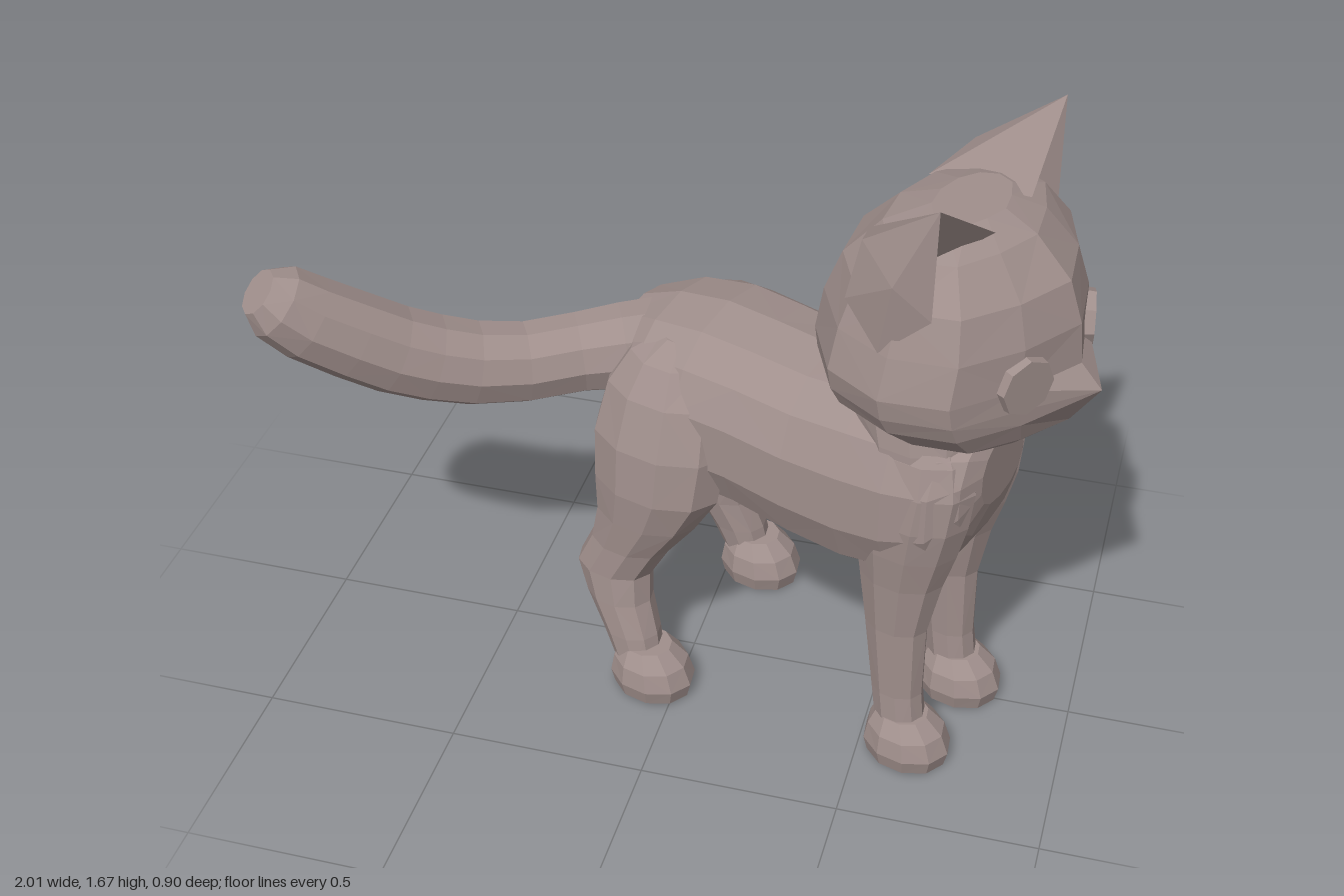
import * as THREE from 'three';

const fur = new THREE.MeshStandardMaterial({ color: 0xa08f8c, flatShading: true });
fur.name = 'fur';
const earFur = new THREE.MeshStandardMaterial({ color: 0xa08f8c, flatShading: true, side: THREE.DoubleSide });
earFur.name = 'earFur';

function mesh(name, points, index, material = fur) {
  let g = new THREE.BufferGeometry();
  g.setAttribute('position', new THREE.Float32BufferAttribute(points.flat(), 3));
  g.setIndex(index);
  g = g.toNonIndexed();
  g.computeVertexNormals();
  const m = new THREE.Mesh(g, material);
  m.name = name;
  return m;
}

// Skin over a list of rings (arrays of [x, y, z]), closed at both ends
function loft(name, rings) {
  const n = rings[0].length, last = rings.length - 1;
  const points = rings.flat(), index = [];
  const middle = (r) => [0, 1, 2].map((k) => r.reduce((s, p) => s + p[k], 0) / n);
  points.push(middle(rings[0]), middle(rings[last]));
  for (let j = 0; j < n; j++) {
    const k = (j + 1) % n;
    for (let i = 0; i < last; i++) {
      const a = i * n + j, b = i * n + k, c = a + n, d = b + n;
      if ((i + j) % 2) index.push(a, c, b, b, c, d);
      else index.push(a, c, d, a, d, b);
    }
    index.push(points.length - 2, j, k, points.length - 1, last * n + k, last * n + j);
  }
  return mesh(name, points, index);
}

const turn = (n, f) => Array.from({ length: n }, (_, j) => f((j / n) * Math.PI * 2, j));

// Level rings: [y, back, front, centre z, half width]
const upright = (name, rows, n, side = 1) => loft(name, rows.map(([y, b, f, z, w]) =>
  turn(n, (t) => [(b + f) / 2 + (f - b) / 2 * Math.cos(t), y, side * z + w * Math.sin(t)])));

function makeTorso() {
  // [x, top, bottom, half width]
  const rows = [
    [-0.22, 0.94, 0.76, 0.07], [-0.19, 0.99, 0.64, 0.16], [-0.08, 1.035, 0.57, 0.24],
    [0.06, 1.055, 0.56, 0.26], [0.20, 1.045, 0.55, 0.252], [0.35, 1.03, 0.515, 0.245],
    [0.50, 1.04, 0.50, 0.247], [0.62, 1.04, 0.52, 0.247], [0.73, 1.02, 0.57, 0.225],
    [0.79, 1.00, 0.68, 0.175], [0.815, 0.96, 0.77, 0.11],
  ];
  const boxy = (v) => Math.sign(v) * Math.abs(v) ** 0.87; // slightly squared section
  return loft('torso', rows.map(([x, top, low, w]) => turn(14, (t) =>
    [x, (top + low) / 2 + (top - low) / 2 * boxy(Math.cos(t)), -w * boxy(Math.sin(t))])));
}

function makeHead() {
  const head = new THREE.Group();
  head.name = 'head';
  head.position.z = -0.013;
  // [y, back, front, half width, nose push]
  const rows = [
    [0.955, 0.70, 0.84, 0.06, 0], [0.98, 0.60, 0.89, 0.16, 0], [1.04, 0.46, 0.95, 0.28, 0.01],
    [1.10, 0.38, 0.97, 0.345, 0.03], [1.145, 0.362, 0.97, 0.368, 0.06], [1.20, 0.357, 0.965, 0.378, 0.01],
    [1.30, 0.37, 0.965, 0.352, 0], [1.40, 0.41, 0.93, 0.318, 0], [1.49, 0.50, 0.84, 0.25, 0],
    [1.53, 0.60, 0.76, 0.13, 0],
  ];
  head.add(loft('skull', rows.map(([y, b, f, w, nose]) => turn(12, (t, j) => {
    const flat = j === 1 || j === 11 ? 0.93 : 1; // cheeks flatten beside the bridge
    return [(b + f) / 2 + (f - b) / 2 * Math.cos(t) * flat + (j === 0 ? nose : 0), y, w * Math.sin(t) * flat];
  }))));

  for (const side of [1, -1]) {
    // Eye disc set into the face
    const eye = new THREE.Mesh(new THREE.CylinderGeometry(0.07, 0.075, 0.04, 8).rotateZ(-Math.PI / 2), fur);
    eye.name = side > 0 ? 'rightEye' : 'leftEye';
    eye.position.set(0.908, 1.21, side * 0.16);
    eye.rotation.y = -side * 0.45;
    head.add(eye);

    // Ear: tip, inner front, inner back, outer back, outer bulge, outer front, hollow, low back, low edge
    const ear = [
      [0.75, 1.67, 0.308], [0.78, 1.52, 0.09], [0.50, 1.47, 0.14], [0.55, 1.52, 0.27], [0.67, 1.48, 0.352],
      [0.75, 1.40, 0.315], [0.67, 1.46, 0.24], [0.53, 1.38, 0.30], [0.64, 1.30, 0.345],
    ].map(([x, y, z]) => [x, y, side * z]);
    const faces = [0, 1, 2, 0, 2, 3, 0, 3, 4, 0, 4, 5, 0, 5, 6, 0, 6, 1, 2, 7, 3, 3, 7, 4, 7, 8, 4, 8, 5, 4];
    // Reverse the corners on the side where the ring runs the other way
    if (side > 0) for (let i = 0; i < faces.length; i += 3) [faces[i + 1], faces[i + 2]] = [faces[i + 2], faces[i + 1]];
    head.add(mesh(side > 0 ? 'rightEar' : 'leftEar', ear, faces, earFur));
  }
  return head;
}

function makeTail() {
  // [x, y, z, radius] from tip to root
  const rows = [
    [-0.962, 1.18, 0.375, 0.06], [-0.93, 1.145, 0.352, 0.095], [-0.87, 1.088, 0.318, 0.106],
    [-0.78, 1.02, 0.265, 0.11], [-0.70, 0.963, 0.217, 0.111], [-0.62, 0.922, 0.17, 0.11],
    [-0.53, 0.89, 0.12, 0.107], [-0.42, 0.873, 0.058, 0.103],
    [-0.30, 0.88, -0.01, 0.103], [-0.20, 0.89, -0.05, 0.112], [-0.08, 0.89, -0.11, 0.12],
  ];
  const at = rows.map((r) => new THREE.Vector3(r[0], r[1], r[2]));
  const up = new THREE.Vector3(0, 1, 0);
  return loft('tail', rows.map((r, i) => {
    const d = at[Math.min(i + 1, at.length - 1)].clone().sub(at[Math.max(i - 1, 0)]).normalize();
    const e1 = d.clone().cross(up).normalize(), e2 = e1.clone().cross(d);
    return turn(10, (t) => at[i].clone().addScaledVector(e1, r[3] * Math.cos(t))
      .addScaledVector(e2, r[3] * Math.sin(t)).toArray());
  }));
}

// The neck flares into the shoulders
const neck = [
  [0.74, 0.50, 0.79, 0, 0.19], [0.86, 0.47, 0.815, 0, 0.215], [0.95, 0.45, 0.815, 0, 0.21],
  [1.02, 0.42, 0.81, 0, 0.2], [1.10, 0.42, 0.82, 0, 0.215],
];
const frontLeg = [
  [0.08, 0.60, 0.73, 0.142, 0.06], [0.20, 0.58, 0.715, 0.14, 0.056], [0.40, 0.55, 0.715, 0.137, 0.063],
  [0.55, 0.525, 0.745, 0.13, 0.083], [0.65, 0.51, 0.775, 0.13, 0.097], [0.75, 0.505, 0.80, 0.132, 0.105],
  [0.85, 0.52, 0.81, 0.128, 0.104], [0.93, 0.54, 0.79, 0.113, 0.098], [0.98, 0.58, 0.75, 0.10, 0.08],
];
const hindLeg = [
  [0.08, -0.10, 0.03, 0.272, 0.063], [0.16, -0.14, 0.015, 0.265, 0.068], [0.25, -0.195, -0.015, 0.253, 0.074],
  [0.33, -0.23, -0.02, 0.243, 0.077], [0.42, -0.19, 0.03, 0.235, 0.082], [0.52, -0.175, 0.105, 0.23, 0.095],
  [0.62, -0.185, 0.165, 0.22, 0.113], [0.75, -0.195, 0.18, 0.20, 0.123], [0.88, -0.175, 0.165, 0.165, 0.117],
  [0.96, -0.13, 0.12, 0.125, 0.105], [1.0, -0.06, 0.06, 0.09, 0.07],
];
// Paw rings: [y, back, front, half width] around its own centre
const paw = [[0, -0.10, 0.11, 0.087], [0.04, -0.11, 0.12, 0.097], [0.09, -0.10, 0.10, 0.088], [0.13, -0.08, 0.055, 0.06]];

export function createModel() {
  const root = new THREE.Group();
  root.name = 'cat';

  // The animal stands turned a little towards the front; the tail swings to the same side
  const body = new THREE.Group();
  body.name = 'body';
  body.position.set(0.01, 0, -0.09);
  body.rotation.y = -THREE.MathUtils.degToRad(17);
  body.add(makeTorso(), makeHead(), upright('neck', neck, 14));

  for (const side of [1, -1]) {
    const s = side > 0 ? 'right' : 'left';
    const pawAt = (x, z) => paw.map(([y, b, f, w]) => [y, x + b, x + f, z, w]);
    body.add(
      upright(s + 'FrontLeg', frontLeg, 10, side),
      upright(s + 'FrontPaw', pawAt(0.68, 0.142), 10, side),
      upright(s + 'HindLeg', hindLeg, 10, side),
      upright(s + 'HindPaw', pawAt(0, 0.272), 10, side),
    );
  }
  root.add(body, makeTail());
  return root;
}
